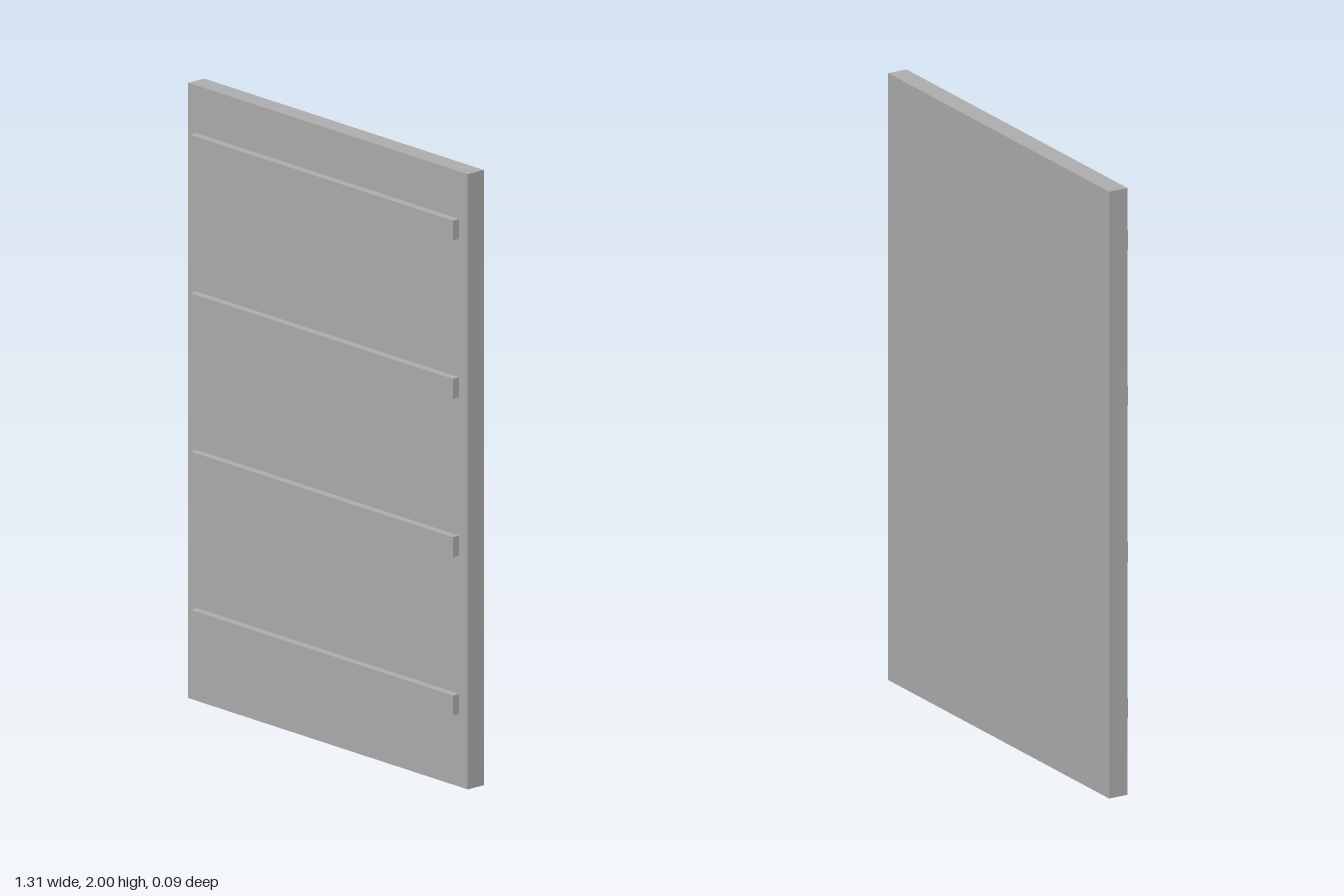
import * as THREE from 'three';

export function createModel() {
  const model = new THREE.Group();
  model.name = 'battenedPanel';

  const grey = new THREE.MeshStandardMaterial({ color: 0xb0b0b0 });
  grey.name = 'grey';

  const addBox = (name, width, height, depth, y, z) => {
    const mesh = new THREE.Mesh(new THREE.BoxGeometry(width, height, depth), grey);
    mesh.name = name;
    mesh.position.set(0, y, z);
    model.add(mesh);
  };

  // Upright slab
  const halfDepth = 0.0465;
  const slabDepth = 0.067;
  addBox('panel', 1.306, 2, slabDepth, 1, -halfDepth + slabDepth / 2);

  // Four evenly spaced rails on the front face
  const railDepth = 2 * halfDepth - slabDepth;
  for (let i = 0; i < 4; i++) {
    addBox(`rail${i + 1}`, 1.226, 0.065, railDepth, 0.269 + i * 0.5145, halfDepth - railDepth / 2);
  }

  return model;
}
